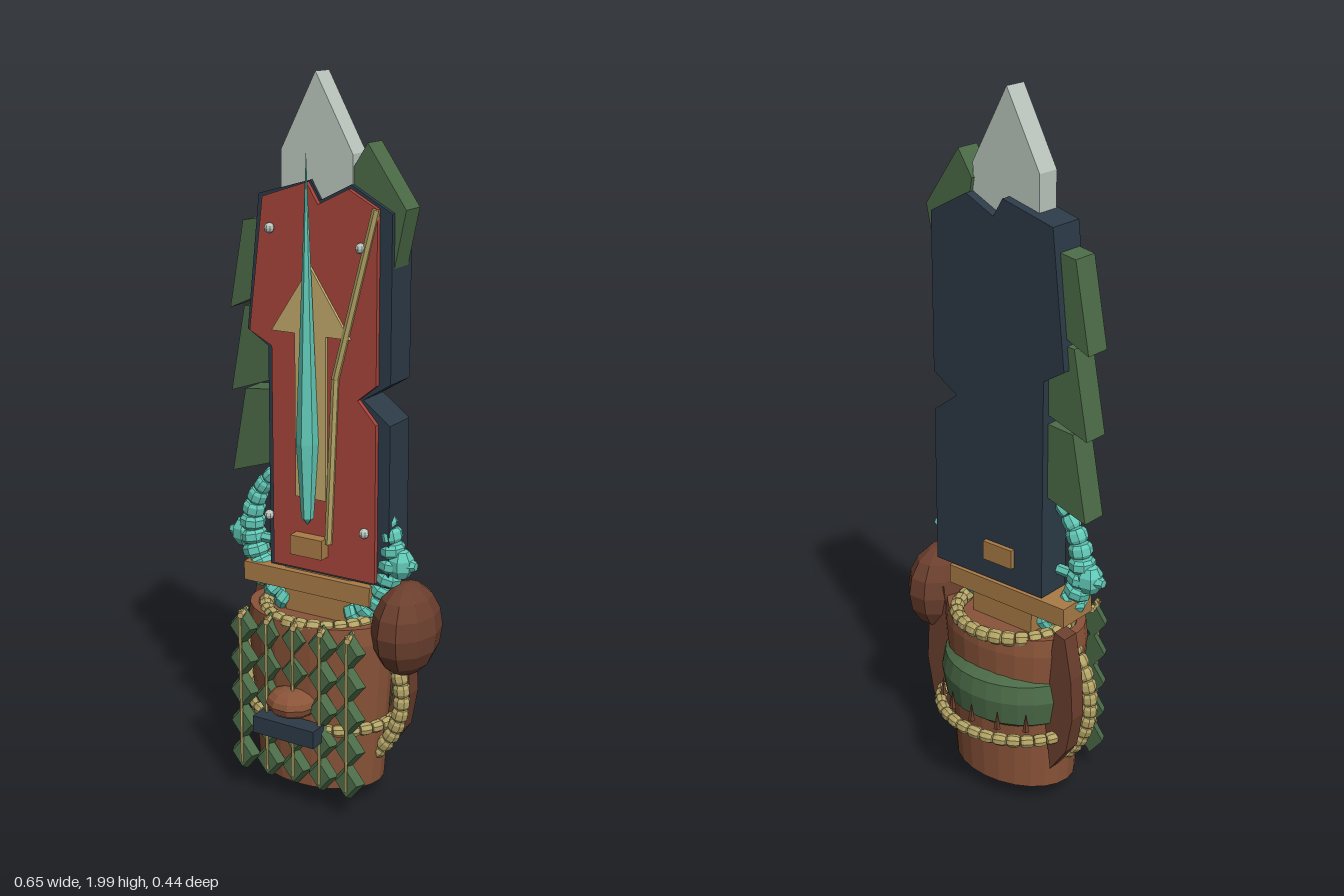
import * as THREE from 'three';

const CX = -0.03; // axis of the pot and hilt

const paint = (name, color) => {
  const m = new THREE.MeshStandardMaterial({ color });
  m.name = name;
  return m;
};

export function createModel() {
  const root = new THREE.Group();
  root.name = 'potHiltedBlade';
  const navy = paint('navy', 0x2c3a47), red = paint('red', 0xa8443a), green = paint('green', 0x4b6b47);
  const brown = paint('brown', 0x8a5439), darkBrown = paint('darkBrown', 0x6b3f2e);
  const straw = paint('straw', 0xb5a567), gold = paint('gold', 0xc3aa6c), ochre = paint('ochre', 0xa97c47);
  const cyan = paint('cyan', 0x62cbb9), silver = paint('silver', 0xbcc7bf);

  // Faceted mesh
  const add = (name, geo, mat, x = 0, y = 0, z = 0, parent = root) => {
    const g = geo.index ? geo.toNonIndexed() : geo;
    g.computeVertexNormals();
    const m = new THREE.Mesh(g, mat);
    m.name = name;
    m.position.set(x, y, z);
    parent.add(m);
    return m;
  };
  const box = (name, mat, x0, x1, y0, y1, z0, z1) =>
    add(name, new THREE.BoxGeometry(x1 - x0, y1 - y0, z1 - z0), mat, (x0 + x1) / 2, (y0 + y1) / 2, (z0 + z1) / 2);
  const plate = (name, mat, pts, z0, z1) => {
    const shape = new THREE.Shape(pts.map(p => new THREE.Vector2(p[0], p[1])));
    return add(name, new THREE.ExtrudeGeometry(shape, { depth: z1 - z0, bevelEnabled: false }), mat, 0, 0, z0);
  };
  const ball = (name, mat, x, y, z, rx, ry, rz, w = 10, h = 8) =>
    add(name, new THREE.SphereGeometry(1, w, h).scale(rx, ry, rz), mat, x, y, z);
  const lathe = (pts, seg, start = 0, len = Math.PI * 2) =>
    new THREE.LatheGeometry(pts.map(p => new THREE.Vector2(p[0], p[1])), seg, start, len);
  const rod = (name, mat, a, b, r0, r1 = r0, sides = 6, parent = root) => {
    const d = new THREE.Vector3().subVectors(b, a);
    const m = add(name, new THREE.CylinderGeometry(r1, r0, d.length(), sides), mat, 0, 0, 0, parent);
    m.position.addVectors(a, b).multiplyScalar(0.5);
    m.quaternion.setFromUnitVectors(new THREE.Vector3(0, 1, 0), d.normalize());
    return m;
  };
  // Chain of barrel-shaped segments following at(t), t in 0..1
  const chain = (name, mat, at, n, radius) => {
    const group = new THREE.Group();
    group.name = name;
    root.add(group);
    for (let i = 0; i < n; i++) {
      const a = at((i + 0.03) / n), b = at((i + 0.97) / n), r = radius((i + 0.5) / n);
      const d = b.clone().sub(a), L = d.length();
      const geo = lathe([[0, -L / 2], [r * 0.8, -L / 2], [r, -L / 4], [r, L / 4], [r * 0.8, L / 2], [0, L / 2]], 8);
      const m = add(name + 'Segment', geo, mat, 0, 0, 0, group);
      m.position.copy(a).add(b).multiplyScalar(0.5);
      m.quaternion.setFromUnitVectors(new THREE.Vector3(0, 1, 0), d.normalize());
    }
  };
  const V = (x, y, z) => new THREE.Vector3(x, y, z);

  // Blade body, red face and silver point
  plate('blade', navy, [[-0.175, 0.66], [0.2, 0.66], [0.2, 1.11], [0.12, 1.17], [0.2, 1.22], [0.2, 1.66], [0.08, 1.725],
    [-0.01, 1.68], [-0.04, 1.73], [-0.2, 1.685], [-0.24, 1.32], [-0.175, 1.28]], -0.073, 0.03);
  plate('bladeFace', red, [[-0.155, 0.67], [0.165, 0.67], [0.165, 1.11], [0.11, 1.17], [0.165, 1.215], [0.165, 1.67],
    [0.08, 1.715], [-0.01, 1.67], [-0.045, 1.725], [-0.18, 1.68], [-0.225, 1.32], [-0.155, 1.285]], 0.03, 0.044);
  plate('bladePoint', silver, [[-0.135, 1.6], [0.08, 1.6], [0.08, 1.8], [CX, 2], [-0.135, 1.8]], -0.045, 0.022);

  // Green fins along both edges
  plate('topFin', green, [[0.1, 1.62], [0.2, 1.52], [0.232, 1.67], [0.12, 1.83], [0.075, 1.76]], -0.055, 0.017);
  for (const [y, inner] of [[1.37, -0.2], [1.14, -0.17], [0.91, -0.16]])
    plate('sideFin', green, [[-0.3, y], [inner, y + 0.045], [inner, y + 0.25], [-0.255, y + 0.24]], -0.052, 0.024);

  // Arrow inlay, crystal spike, bent rod and rivets
  plate('arrowInlay', gold, [[-0.077, 0.88], [0.018, 0.88], [0.018, 1.33], [0.09, 1.33], [CX, 1.51], [-0.15, 1.33], [-0.077, 1.33]], 0.044, 0.053);
  add('crystalSpike', lathe([[0, 0.81], [0.017, 0.83], [0.03, 1.04], [0.022, 1.25], [0.008, 1.6], [0, 1.81]], 6), cyan, CX, 0, 0.068);
  const bends = [V(0.162, 1.67, 0.045), V(0.045, 1.22, 0.048), V(0.025, 0.76, 0.05)];
  for (let i = 0; i < 2; i++) rod('bentRod', straw, bends[i], bends[i + 1], 0.011);
  for (const [x, y] of [[-0.155, 1.6], [0.12, 1.57], [-0.165, 0.81], [0.135, 0.81]])
    ball('rivet', silver, x, y, 0.05, 0.014, 0.014, 0.014, 8, 6);

  // Peg, collar and guard
  box('peg', ochre, -0.08, 0.02, 0.72, 0.775, -0.086, 0.078);
  box('collar', ochre, -0.13, 0.08, 0.52, 0.67, -0.06, 0.025);
  box('guard', ochre, -0.255, 0.15, 0.6, 0.655, -0.078, 0.045);

  // Cyan ringed horns with knobs, mirrored
  for (const s of [-1, 1]) {
    chain('ringHorn', cyan, t => {
      const a = THREE.MathUtils.degToRad(120 + t * 125);
      return V(CX - s * Math.cos(a) * 0.225, 0.75 + Math.sin(a) * 0.225, 0);
    }, 12, t => 0.015 + 0.024 * Math.min(1, t * 2));
    ball('hornKnob', cyan, CX + s * 0.25, 0.725, 0, 0.04, 0.045, 0.037, 7, 5);
    rod('hornTip', cyan, V(CX + s * 0.265, 0.725, 0), V(CX + s * 0.297, 0.725, 0), 0.026, 0.012);
    rod('hornStrut', cyan, V(CX + s * 0.23, 0.72, 0), V(CX + s * 0.13, 0.72, 0), 0.015);
  }

  // Oval pot with base knob
  add('pot', lathe([[0, 0.065], [0.19, 0.065], [0.207, 0.3], [0.222, 0.5], [0.216, 0.55], [0.19, 0.55], [0.18, 0.53], [0, 0.53]], 24)
    .scale(1, 1, 0.725), brown, CX, 0, -0.005);
  ball('baseKnob', darkBrown, CX, 0.065, -0.008, 0.078, 0.055, 0.065);

  // Green pad on the back with short thorns
  const pad = lathe([[0.76, 0.26], [0.95, 0.29], [1, 0.36], [0.95, 0.41], [0.76, 0.44]], 14, Math.PI * 0.52, Math.PI * 0.96)
    .scale(0.222, 1, 0.192);
  add('backPad', pad, green, CX, 0, -0.005);
  for (let i = -2; i <= 2; i++) {
    const a = i * 0.38;
    add('thorn', new THREE.ConeGeometry(0.01, 0.055, 5), darkBrown, CX + Math.sin(a) * 0.22, 0.305, -0.005 - Math.cos(a) * 0.192);
  }

  // Ropes: rim, waist and side handles
  const ring = (y, rx, rz, z) => t => V(CX + Math.sin(t * 2 * Math.PI) * rx, y, z + Math.cos(t * 2 * Math.PI) * rz);
  chain('rimRope', straw, ring(0.545, 0.165, 0.15, -0.015), 28, () => 0.021);
  chain('waistRope', straw, ring(0.25, 0.215, 0.178, -0.028), 34, () => 0.018);
  for (const s of [-1, 1]) {
    chain('sideRope', straw, t => {
      const a = -1.0 + t * 1.75;
      return V(CX + s * Math.cos(a) * 0.26, 0.335 + Math.sin(a) * 0.25, 0);
    }, 12, () => 0.024);
    // Curved dark tusk behind each side rope
    const arc = [[0.2, 0.58], [0.235, 0.57], [0.258, 0.45], [0.265, 0.33], [0.245, 0.22], [0.19, 0.14], [0.17, 0.3], [0.18, 0.45]];
    plate('tusk', darkBrown, arc.map(([x, y]) => [CX + s * x, y]), -0.085, -0.035);
  }

  // Round gourd at the left side
  ball('gourd', darkBrown, 0.235, 0.54, -0.012, 0.09, 0.132, 0.12);

  // Apron of green diamond scales on cords
  for (let c = 0; c < 5; c++) {
    const x = -0.192 + c * 0.085;
    for (let r = 0; r < 5; r++) {
      const scale = new THREE.CylinderGeometry(0.72, 1, 0.026, 4).rotateX(Math.PI / 2).scale(0.046, 0.057, 1);
      add('apronScale', scale, green, x, 0.125 + r * 0.096, 0.149);
    }
    rod('apronCord', straw, V(x, 0.1, 0.162), V(x, 0.56, 0.162), 0.005);
    rod('apronPeg', gold, V(x - 0.008, 0.55, 0.12), V(x + 0.01, 0.55, 0.174), 0.009);
  }

  // Nose knob and dark bar on the apron
  ball('noseKnob', brown, CX, 0.322, 0.15, 0.074, 0.042, 0.07);
  box('mouthBar', navy, -0.125, 0.07, 0.227, 0.277, 0.15, 0.204);

  return root;
}
